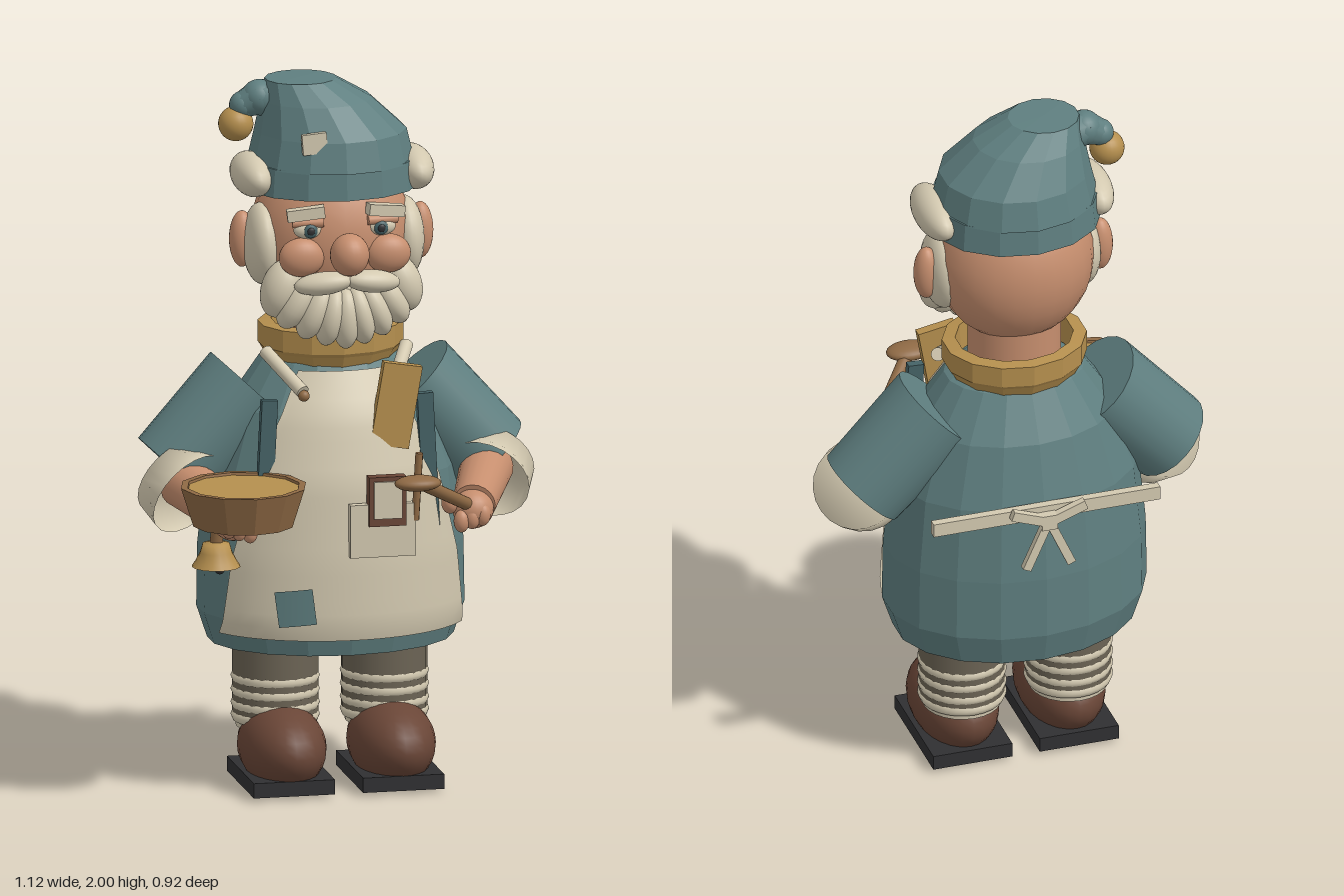
import * as THREE from 'three';

const V = (x, y, z) => new THREE.Vector3(x, y, z);
const mat = (name, color, side = THREE.FrontSide) => {
  const m = new THREE.MeshStandardMaterial({ color, side });
  m.name = name;
  return m;
};

export function createModel() {
  const root = new THREE.Group();
  root.name = 'gnomeCook';
  const teal = mat('teal cloth', 0x5f7f80, THREE.DoubleSide);
  const darkTeal = mat('dark teal trim', 0x456266);
  const cream = mat('cream', 0xd3c9b0, THREE.DoubleSide);
  const skin = mat('skin', 0xc68e6e);
  const gold = mat('ochre', 0xb58f4e, THREE.DoubleSide);
  const wood = mat('wood', 0x8f6a45);
  const leather = mat('boot leather', 0x6a4637);
  const trousers = mat('trouser cloth', 0x6b6354);
  const dark = mat('sole black', 0x303032);

  // Helpers
  const add = (name, geo, m, pos = [0, 0, 0], rot = [0, 0, 0], scale = [1, 1, 1]) => {
    const mesh = new THREE.Mesh(geo, m);
    mesh.name = name;
    mesh.position.set(...pos);
    mesh.rotation.set(...rot);
    mesh.scale.set(...scale);
    root.add(mesh);
    return mesh;
  };
  const ball = (name, m, pos, scale, rot) => add(name, new THREE.SphereGeometry(1, 24, 16), m, pos, rot, scale);
  const box = (name, m, size, pos, rot) => add(name, new THREE.BoxGeometry(...size), m, pos, rot);
  const flat = (geo) => {
    const g = geo.toNonIndexed();
    g.computeVertexNormals();
    return g;
  };
  const lathe = (pts, sides) => new THREE.LatheGeometry(pts.map((p) => new THREE.Vector2(...p)), sides);
  const align = (mesh, dir) => mesh.quaternion.setFromUnitVectors(V(0, 1, 0), dir.clone().normalize());
  const rod = (name, m, a, b, ra, rb = ra, sides = 20) => {
    const d = b.clone().sub(a);
    const mid = a.clone().lerp(b, 0.5);
    const mesh = add(name, new THREE.CylinderGeometry(rb, ra, d.length(), sides), m, mid.toArray());
    align(mesh, d);
    return mesh;
  };
  const lookup = (table, y) => {
    for (let i = 1; i < table.length; i++) {
      const [v0, y0] = table[i - 1], [v1, y1] = table[i];
      if (y <= y1) return v0 + (v1 - v0) * Math.max(0, (y - y0) / (y1 - y0));
    }
    return table[table.length - 1][0];
  };

  // Coat, open below
  const cz = -0.14, depth = 0.78;
  const coat = [[0.345, 0.41], [0.375, 0.5], [0.372, 0.68], [0.35, 0.9], [0.29, 1.08], [0.2, 1.21], [0.12, 1.25]];
  add('coat', flat(lathe(coat, 18)), teal, [0, 0, cz], [0, 0, 0], [1, 1, depth]);

  // Panels that follow the coat front
  const drape = (geo, offset, place) => {
    const p = geo.attributes.position;
    for (let i = 0; i < p.count; i++) {
      const [x, y] = place(p.getX(i), p.getY(i));
      const r = lookup(coat, y) + offset;
      const k = Math.min(0.999, Math.abs(x / r));
      p.setXYZ(i, x, y, cz + (r * depth + offset * 0.2) * Math.sqrt(1 - k * k));
    }
    geo.computeVertexNormals();
    return geo;
  };
  const apronWidth = [[0.345, 0.46], [0.32, 0.68], [0.265, 0.9], [0.21, 1.03], [0.125, 1.2]];
  add('apron', drape(new THREE.PlaneGeometry(1, 1, 20, 20), 0.02, (u, v) => {
    const y = 0.83 + v * 0.74;
    return [u * 2 * lookup(apronWidth, y), y];
  }), cream);
  add('apronPatch', drape(new THREE.PlaneGeometry(0.1, 0.1, 5, 5), 0.026,
    (u, v) => [-0.162 + u - v * 0.12, 0.556 + v + u * 0.12]), teal);

  // Pocket, notebook and pencil
  box('pocket', cream, [0.185, 0.15, 0.025], [0.077, 0.775, 0.176]);
  box('notebook', leather, [0.105, 0.14, 0.035], [0.087, 0.86, 0.185]);
  box('notebookPage', cream, [0.08, 0.105, 0.008], [0.087, 0.865, 0.205]);
  rod('pencil', wood, V(0.17, 0.8, 0.18), V(0.18, 0.99, 0.185), 0.011, 0.011, 8);

  // Apron ties and bow at the back
  box('apronTie', cream, [0.66, 0.04, 0.025], [0, 0.9, -0.42]);
  box('bowKnot', cream, [0.045, 0.045, 0.03], [0, 0.88, -0.445]);
  for (const s of [-1, 1]) {
    box('bowLoop', cream, [0.11, 0.028, 0.022], [s * 0.055, 0.9, -0.448], [0, 0, s * 0.35]);
    box('bowTail', cream, [0.025, 0.15, 0.02], [s * 0.035, 0.805, -0.446], [0, 0, s * 0.42]);
  }

  for (const s of [-1, 1]) {
    // Legs, socks and boots
    add('trouserLeg', new THREE.CylinderGeometry(0.12, 0.12, 0.3, 24), trousers, [s * 0.155, 0.35, -0.147]);
    add('sock', new THREE.CylinderGeometry(0.115, 0.11, 0.16, 24), cream, [s * 0.155, 0.24, -0.147]);
    for (const y of [0.3, 0.262, 0.224, 0.19])
      add('sockBand', new THREE.TorusGeometry(0.104, 0.02, 8, 28), cream, [s * 0.155, y, -0.147], [Math.PI / 2, 0, 0]);
    ball('boot', leather, [s * 0.155, 0.118, -0.063], [0.12, 0.118, 0.197]);
    box('sole', dark, [0.23, 0.042, 0.345], [s * 0.155, 0.031, -0.073]);

    // Coat edging and apron straps
    box('coatEdge', darkTeal, [0.045, 0.6, 0.025], [s * 0.235, 0.835, 0.07], [0, 0, s * 0.05]);
    rod('apronStrap', cream, V(s * 0.2, 1.24, -0.07), V(s * 0.127, 1.155, 0.08), 0.019);
    ball('strapButton', wood, [s * 0.125, 1.145, 0.085], [0.016, 0.016, 0.016]);

    // Arms
    rod('sleeve', teal, V(s * 0.23, 1.125, -0.155), V(s * 0.445, 0.9, -0.145), 0.14, 0.13, 22);
    const cuff = add('cuff', lathe([[0, -0.04], [0.122, -0.04], [0.132, 0.045]], 22), cream, [s * 0.435, 0.87, -0.085]);
    align(cuff, V(-s * 0.45, -0.45, 0.75));
    rod('forearm', skin, V(s * 0.43, 0.88, -0.08), V(s * 0.345, 0.825, 0.14), 0.075, 0.06);
    ball('hand', skin, [s * 0.34, 0.815, 0.15], [0.058, 0.055, 0.055]);
    ball('thumb', skin, [s * 0.275, 0.835, 0.15], [0.024, 0.03, 0.03]);
    for (const k of [0, 1, 2])
      ball('finger', skin, [s * (0.3 + k * 0.03), 0.79 + k * 0.008, 0.185], [0.022, 0.032, 0.022]);

    // Ears, sideburns, cheeks, eyes and brows
    ball('ear', skin, [s * 0.253, 1.55, -0.13], [0.036, 0.08, 0.036]);
    ball('sideburn', cream, [s * 0.203, 1.54, -0.105], [0.052, 0.115, 0.1]);
    ball('cheek', skin, [s * 0.122, 1.53, 0.045], [0.065, 0.055, 0.04]);
    ball('eyeWhite', cream, [s * 0.103, 1.607, 0.042], [0.042, 0.026, 0.022]);
    ball('iris', darkTeal, [s * 0.1, 1.606, 0.059], [0.02, 0.02, 0.009]);
    ball('pupil', dark, [s * 0.1, 1.606, 0.066], [0.011, 0.011, 0.005]);
    rod('eyelid', skin, V(s * 0.062, 1.628, 0.055), V(s * 0.148, 1.626, 0.04), 0.013);
    box('eyebrow', cream, [0.105, 0.032, 0.035], [s * 0.113, 1.656, 0.055], [0, s * 0.15, -s * 0.12]);

    // Moustache and beard locks
    ball('moustache', cream, [s * 0.07, 1.462, 0.085], [0.082, 0.032, 0.04], [0, s * 0.2, -s * 0.12]);
    for (const [x, y, z, a, w] of [[0.17, 1.435, 0, 0.35, 0.056], [0.13, 1.4, 0.02, 0.55, 0.045],
      [0.085, 1.375, 0.035, 0.4, 0.042], [0.042, 1.36, 0.045, 0.2, 0.04]])
      ball('beardLock', cream, [s * x, y, z], [w, 0.085, 0.06], [0, 0, s * a]);
    ball('hatFluff', cream, [s * 0.228, 1.735, -0.12], [0.056, 0.06, 0.128]);
  }
  ball('beardTip', cream, [0, 1.352, 0.055], [0.04, 0.085, 0.05]);
  ball('beardBase', cream, [0, 1.41, -0.01], [0.16, 0.085, 0.07]);

  // Head
  add('neck', new THREE.CylinderGeometry(0.13, 0.13, 0.2, 24), skin, [0, 1.29, cz]);
  ball('head', skin, [0, 1.56, -0.135], [0.225, 0.24, 0.207]);
  ball('nose', skin, [0, 1.545, 0.107], [0.055, 0.06, 0.056]);

  // Neckerchief
  const scarf = [[0.14, 1.22], [0.165, 1.2], [0.183, 1.235], [0.19, 1.245], [0.19, 1.305], [0.155, 1.31], [0.15, 1.23]];
  add('neckerchief', flat(lathe(scarf, 14)), gold, [0, 0, cz], [0, 0, 0], [1.07, 1, 0.95]);
  box('neckerchiefTail', gold, [0.11, 0.235, 0.03], [0.132, 1.11, 0.097], [0, 0, -0.17]);

  // Leaning hat
  add('hatBand', flat(lathe([[0.2, 1.69], [0.245, 1.69], [0.238, 1.77], [0.2, 1.775]], 14)), teal,
    [0, 0, cz], [0, 0, 0], [1, 1, 0.89]);
  const crown = lathe([[0.232, 1.765], [0.212, 1.85], [0.155, 1.94], [0.1, 1.998], [0, 2]], 14);
  const cp = crown.attributes.position;
  const lean = [[0, 1.85], [-0.04, 1.94], [-0.085, 1.998], [-0.085, 2]];
  for (let i = 0; i < cp.count; i++) cp.setX(i, cp.getX(i) + lookup(lean, cp.getY(i)));
  add('hatCrown', flat(crown), teal, [0, 0, cz], [0, 0, 0], [1, 1, 0.94]);
  const tail = [V(-0.1, 1.93, -0.145), V(-0.2, 1.945, -0.15), V(-0.245, 1.925, -0.155), V(-0.262, 1.88, -0.155)];
  const radii = [0.07, 0.05, 0.038, 0.026];
  for (let i = 0; i < 3; i++) {
    rod('hatTail', teal, tail[i], tail[i + 1], radii[i], radii[i + 1], 10);
    ball('hatTailBend', teal, tail[i + 1].toArray(), Array(3).fill(radii[i + 1]));
  }
  ball('pompom', gold, [-0.265, 1.872, -0.155], [0.049, 0.049, 0.049]);
  box('hatPatch', cream, [0.07, 0.058, 0.016], [-0.085, 1.85, 0.04], [0, 0, 0.08]);

  // Mixing bowl
  const bowl = [[0, 0.82], [0.142, 0.82], [0.177, 0.93], [0.158, 0.93], [0.153, 0.91]];
  add('bowl', flat(lathe(bowl, 12)), wood, [-0.325, 0, 0.213]);
  add('batter', new THREE.CylinderGeometry(0.157, 0.15, 0.02, 12), gold, [-0.325, 0.913, 0.213]);

  // Hand bell
  const bell = [[0.068, 0.675], [0.058, 0.69], [0.045, 0.715], [0.038, 0.74], [0, 0.748]];
  add('bell', lathe(bell, 16), gold, [-0.375, 0, 0.09]);
  rod('bellHandle', wood, V(-0.375, 0.74, 0.09), V(-0.37, 0.82, 0.1), 0.018);
  ball('bellClapper', dark, [-0.365, 0.668, 0.09], [0.015, 0.017, 0.015]);

  // Wooden spoon
  rod('spoonHandle', wood, V(0.35, 0.815, 0.14), V(0.145, 0.95, 0.39), 0.018);
  ball('spoonHead', wood, [0.125, 0.96, 0.415], [0.066, 0.022, 0.044]);
  return root;
}
